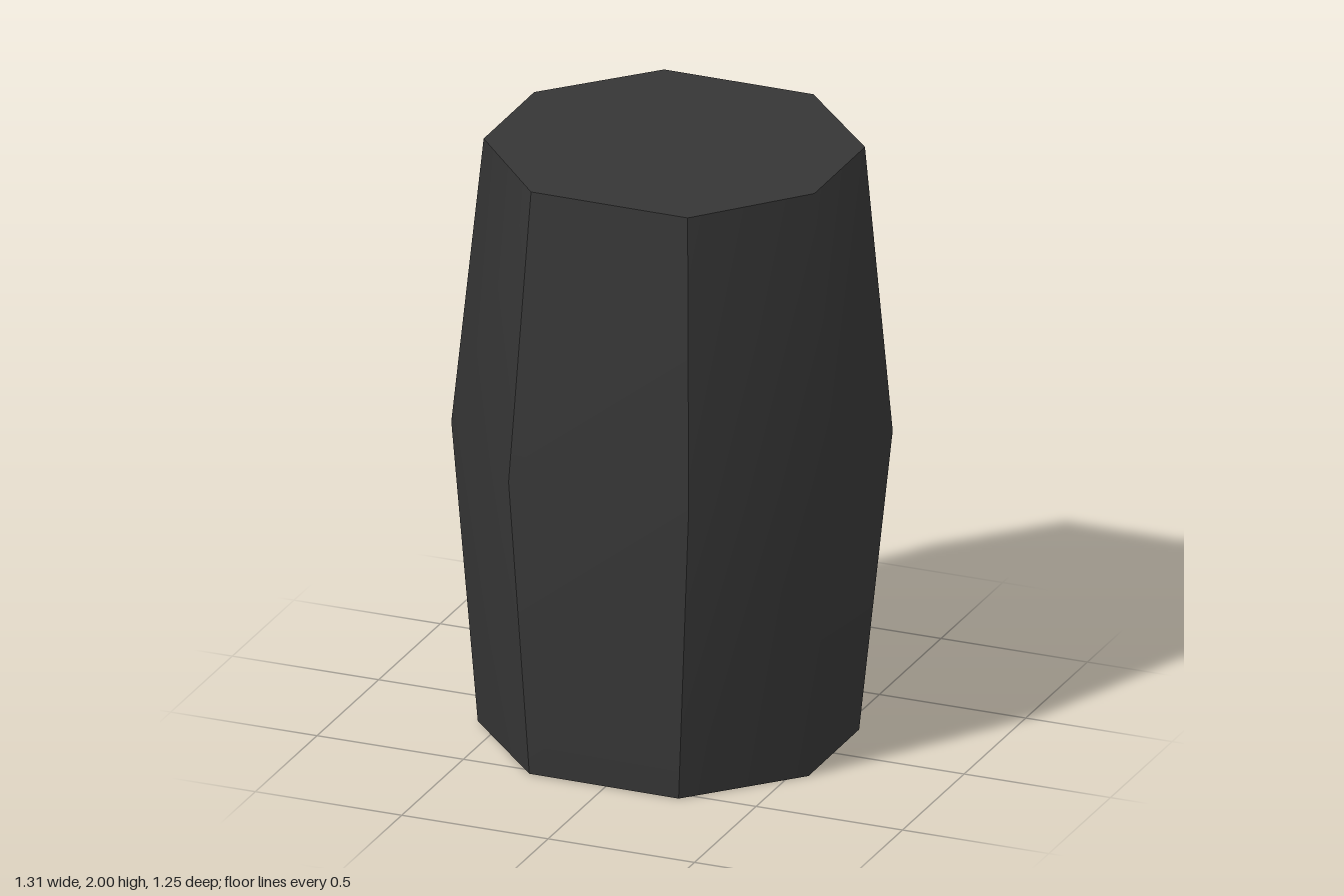
import * as THREE from 'three';

// Corner rings [x, z] of the eight-sided barrel, starting at the back right corner
const topRing = [[-0.25, -0.535], [0.26, -0.535], [0.575, -0.205], [0.575, 0.205],
  [0.285, 0.545], [-0.25, 0.545], [-0.555, 0.205], [-0.555, -0.205]];
const midRing = [[-0.305, -0.625], [0.29, -0.625], [0.655, -0.24], [0.655, 0.23],
  [0.32, 0.62], [-0.295, 0.62], [-0.655, 0.23], [-0.655, -0.24]];
const bottomRing = topRing.map((_, i) => topRing[(i + 4) % 8].map((v) => -v));

// Slightly tilted levels
const place = (ring, y, sx, sz) => ring.map(([x, z]) => [x, y + sx * x + sz * z, z]);
const rings = [
  place(bottomRing, 0.006, -0.005, -0.005),
  place(midRing, 1.025, 0, 0),
  place(topRing, 1.994, -0.005, -0.005),
];

function build(points, index) {
  const g = new THREE.BufferGeometry();
  g.setAttribute('position', new THREE.Float32BufferAttribute(points.flat(), 3));
  g.setIndex(index);
  g.computeVertexNormals();
  return g;
}

// A smooth run of side faces over the given corners
function sideBand(first, faces) {
  const n = faces + 1;
  const points = rings.flatMap((ring) => Array.from({ length: n }, (_, k) => ring[(first + k) % 8]));
  const index = [];
  for (let r = 0; r < 2; r++) {
    for (let k = 0; k < faces; k++) {
      const a = r * n + k, b = a + 1, c = a + n, d = c + 1;
      index.push(b, a, c, b, c, d);
    }
  }
  return build(points, index);
}

function cap(ring, up) {
  const index = [];
  for (let k = 1; k < 7; k++) index.push(0, up ? k + 1 : k, up ? k : k + 1);
  return build(ring, index);
}

export function createModel() {
  const model = new THREE.Group();
  model.name = 'barrel';
  const charcoal = new THREE.MeshStandardMaterial({ color: 0x363636 });
  charcoal.name = 'charcoal';
  const add = (name, geometry) => {
    const mesh = new THREE.Mesh(geometry, charcoal);
    mesh.name = name;
    model.add(mesh);
  };

  // Flat front and back, rounded flanks, end caps
  add('backFace', sideBand(0, 1));
  add('leftFlank', sideBand(1, 3));
  add('frontFace', sideBand(4, 1));
  add('rightFlank', sideBand(5, 3));
  add('topCap', cap(rings[2], true));
  add('bottomCap', cap(rings[0], false));
  return model;
}
